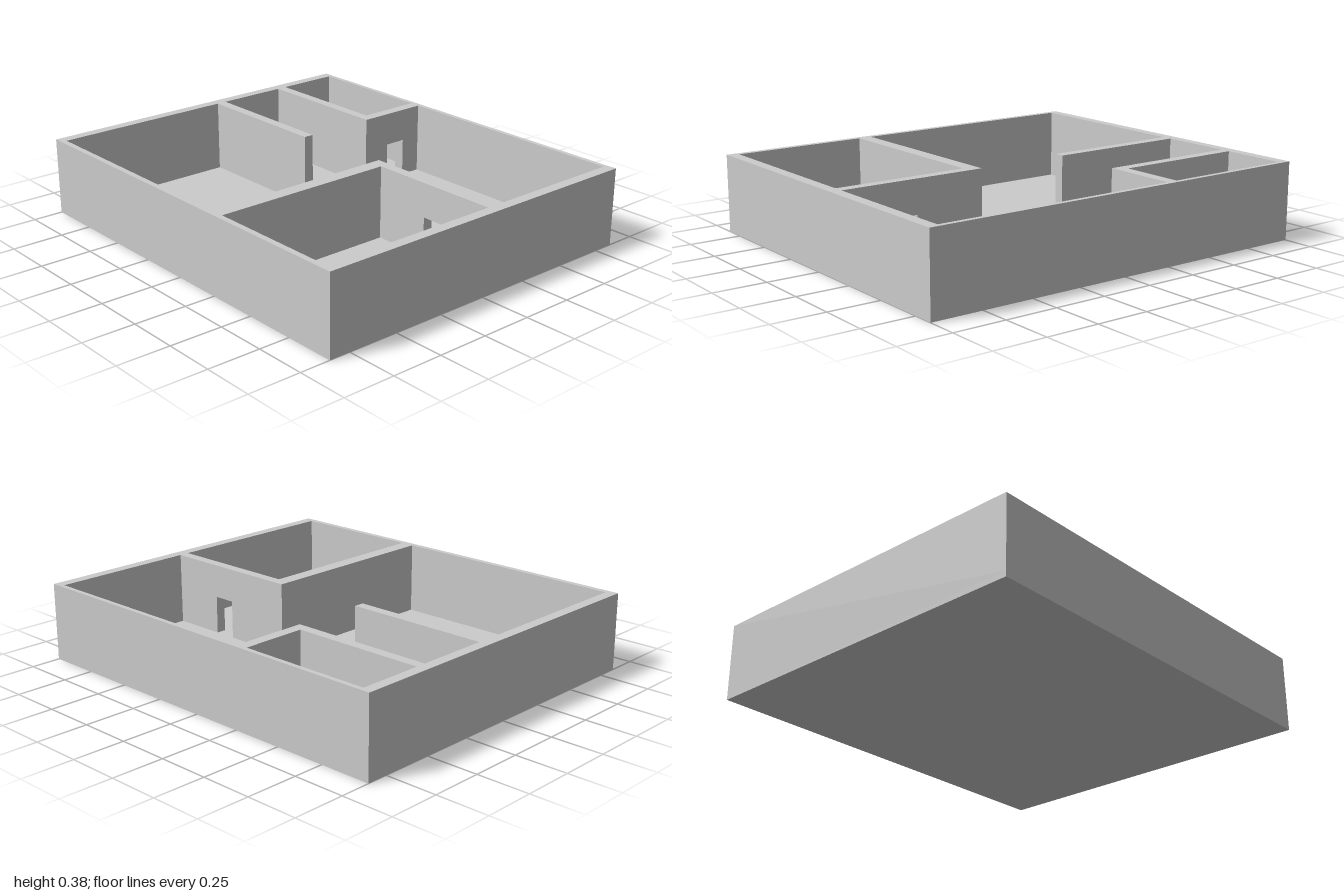
import * as THREE from 'three';

const FLOOR = 0.025, TOP = 0.375, DOOR_TOP = 0.212;
const X = 1, Z = 0.853; // outer half sizes
const INNER = { x0: -0.95, x1: 0.948, z0: -0.83, z1: 0.825 };
const material = new THREE.MeshStandardMaterial({ color: 0xcccccc, flatShading: true });

const shapeOf = (points) => new THREE.Shape(points.map(([x, y]) => new THREE.Vector2(x, y)));
const extrude = (shape, depth) => new THREE.ExtrudeGeometry(shape, { depth, bevelEnabled: false });

export function createModel() {
  const house = new THREE.Group();
  house.name = 'floorPlanHouse';

  const add = (name, geometry) => {
    const mesh = new THREE.Mesh(geometry, material);
    mesh.name = name;
    house.add(mesh);
  };

  // Wall elevation from a to b, with an optional doorway notch [start, end]
  const elevation = (a, b, door) => shapeOf([
    [a, FLOOR],
    ...(door ? [[door[0], FLOOR], [door[0], DOOR_TOP], [door[1], DOOR_TOP], [door[1], FLOOR]] : []),
    [b, FLOOR], [b, TOP], [a, TOP],
  ]);

  // Partition running along x, filling z0..z1
  const wallAlongX = (name, x0, x1, z0, z1, door) =>
    add(name, extrude(elevation(x0, x1, door), z1 - z0).translate(0, 0, z0));

  // Partition running along z, filling x0..x1
  const wallAlongZ = (name, z0, z1, x0, x1, door) => {
    const flipped = door && [-door[1], -door[0]];
    add(name, extrude(elevation(-z1, -z0, flipped), x1 - x0).rotateY(Math.PI / 2).translate(x0, 0, 0));
  };

  // Floor slab
  add('floor', new THREE.BoxGeometry(2 * X, FLOOR, 2 * Z).translate(0, FLOOR / 2, 0));

  // Outer wall ring, drawn in plan and turned upright
  const ring = shapeOf([[-X, -Z], [X, -Z], [X, Z], [-X, Z]]);
  const { x0, x1, z0, z1 } = INNER;
  ring.holes.push(shapeOf([[x0, -z1], [x0, -z0], [x1, -z0], [x1, -z1]]));
  add('outerWalls', extrude(ring, TOP - FLOOR).rotateX(-Math.PI / 2).translate(0, FLOOR, 0));

  // Small back room
  wallAlongX('smallRoomFrontWall', x0, -0.25, -0.519, -0.47);
  wallAlongZ('smallRoomSideWall', z0, -0.519, -0.303, -0.25, [-0.725, -0.615]);

  // Free-ended divider
  wallAlongX('dividerWall', x0, -0.25, -0.119, -0.07);

  // Large front room
  wallAlongX('frontRoomBackWall', 0.22, x1, -0.119, -0.07, [0.57, 0.682]);
  wallAlongZ('frontRoomSideWall', -0.07, z1, 0.22, 0.288);

  return house;
}
